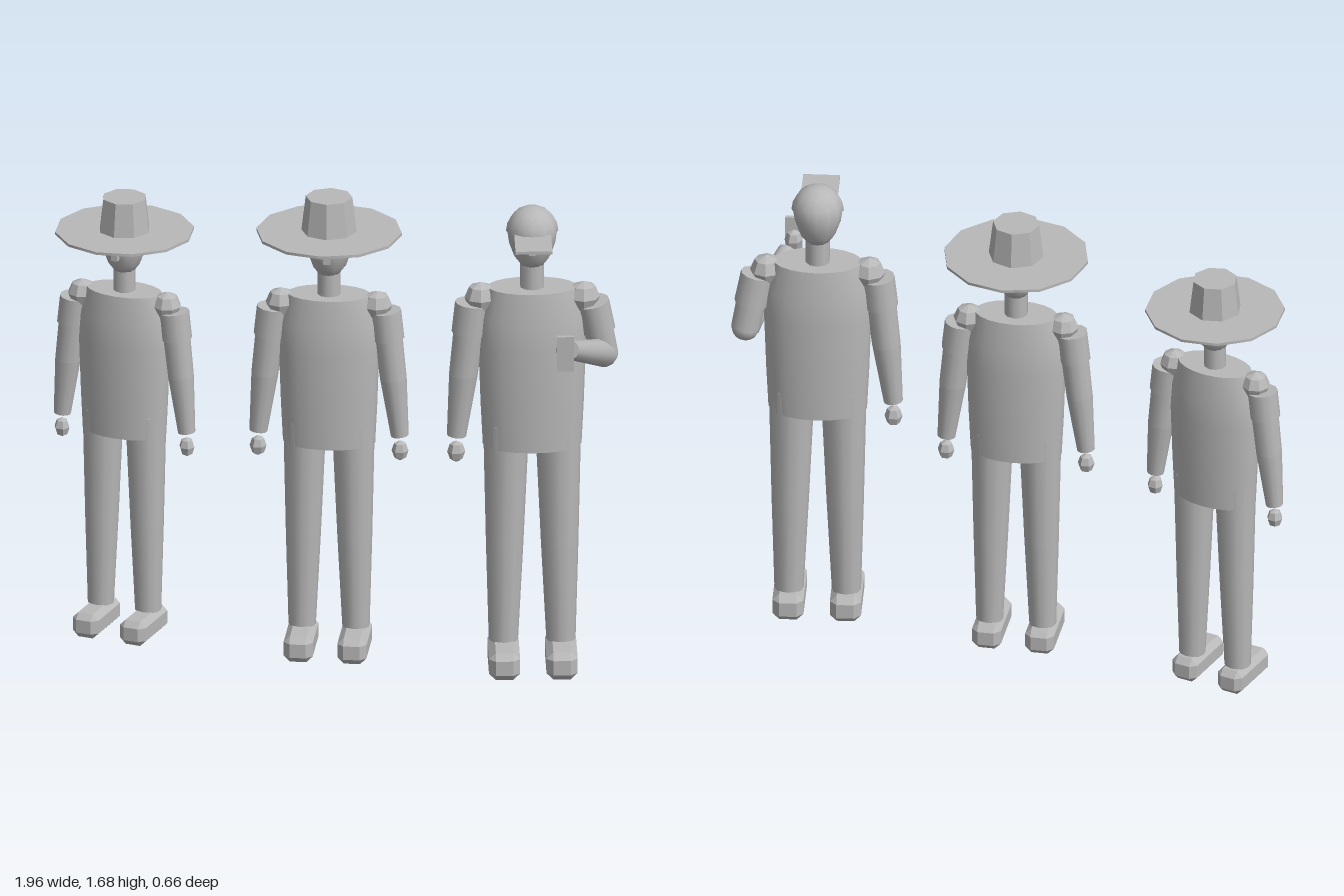
import * as THREE from 'three';
import { ConvexGeometry } from 'three/addons/geometries/ConvexGeometry.js';

const grey = new THREE.MeshStandardMaterial({ color: 0xb8b8b8 });
grey.name = 'plain grey';
const facetGrey = grey;

const V = (x, y, z) => new THREE.Vector3(x, y, z);

function add(parent, name, geometry, x = 0, y = 0, z = 0) {
  const mesh = new THREE.Mesh(geometry, grey);
  mesh.name = name;
  mesh.position.set(x, y, z);
  parent.add(mesh);
  return mesh;
}

// Tapered round limb from point a (radius ra) to point b (radius rb)
function limb(parent, name, a, b, ra, rb, sides = 12) {
  const dir = b.clone().sub(a);
  const mid = a.clone().add(b).multiplyScalar(0.5);
  const mesh = add(parent, name, new THREE.CylinderGeometry(rb, ra, dir.length(), sides), mid.x, mid.y, mid.z);
  mesh.quaternion.setFromUnitVectors(V(0, 1, 0), dir.normalize());
  return mesh;
}

// Sphere with visible facets
const facetBall = (r, sides, rings) => new THREE.SphereGeometry(r, sides, rings).toNonIndexed();
function faceted(geometry) {
  geometry.computeVertexNormals();
  return geometry;
}

// Box with all its edges and corners cut off
function chamferedBox(w, h, d, c) {
  const points = [];
  for (const sx of [-1, 1]) for (const sy of [-1, 1]) for (const sz of [-1, 1]) {
    const [x, y, z] = [sx * w / 2, sy * h / 2, sz * d / 2];
    points.push(V(x, y - sy * c, z - sz * c), V(x - sx * c, y, z - sz * c), V(x - sx * c, y - sy * c, z));
  }
  return new ConvexGeometry(points);
}

// Rounded profile, turned around y
function turned(profile, sides, depth) {
  const g = new THREE.LatheGeometry(profile.map(p => new THREE.Vector2(p[0], p[1])), sides);
  return g.scale(1, 1, depth);
}

function addBody(p) {
  // Shirt with separate flat ends, so that the rims stay sharp
  const side = [[0.158, 0.76], [0.165, 0.9], [0.172, 1.1], [0.166, 1.2], [0.142, 1.3]];
  const depth = 0.58;
  add(p, 'shirt', turned(side, 20, depth));
  const top = new THREE.CircleGeometry(0.142, 20).rotateX(-Math.PI / 2).scale(1, 1, depth);
  add(p, 'shirtTop', top, 0, 1.3, 0);
  const hem = new THREE.CircleGeometry(0.158, 20).rotateX(Math.PI / 2).scale(1, 1, depth);
  add(p, 'shirtHem', hem, 0, 0.76, 0);

  // Legs and shoes
  for (const s of [-1, 1]) {
    limb(p, 'thigh', V(s * 0.083, 0.84, 0), V(s * 0.088, 0.42, 0), 0.074, 0.06);
    limb(p, 'shin', V(s * 0.088, 0.42, 0), V(s * 0.092, 0.09, 0), 0.06, 0.047);
    add(p, 'shoe', chamferedBox(0.1, 0.093, 0.235, 0.022), s * 0.092, 0.0465, 0.04);
  }
}

function addHead(p) {
  limb(p, 'neck', V(0, 1.28, 0), V(0, 1.4, 0), 0.04, 0.04, 10);
  add(p, 'head', turned([[0, 1.37], [0.036, 1.376], [0.058, 1.405], [0.074, 1.45], [0.079, 1.485],
    [0.075, 1.52], [0.052, 1.552], [0, 1.565]], 12, 1.05));
  add(p, 'nose', new THREE.BoxGeometry(0.024, 0.036, 0.03), 0, 1.458, 0.079);
  for (const s of [-1, 1]) {
    add(p, 'eye', new THREE.BoxGeometry(0.02, 0.01, 0.009), s * 0.028, 1.484, 0.077);
  }
}

function addArm(p, s, raised) {
  const shoulder = V(s * 0.193, 1.245, 0);
  const elbow = raised ? V(s * 0.23, 1.06, -0.02) : V(s * 0.22, 1.0, 0);
  const wrist = raised ? V(s * 0.113, 1.18, 0.26) : V(s * 0.242, 0.79, 0);
  const hand = raised ? V(s * 0.096, 1.197, 0.304) : V(s * 0.243, 0.735, 0);
  const cuff = shoulder.clone().lerp(elbow, raised ? 0.55 : 0.42);

  add(p, 'shoulder', faceted(facetBall(0.052, 8, 4)), s * 0.165, 1.263, 0);
  limb(p, 'sleeve', shoulder, cuff, 0.054, 0.054);
  limb(p, 'upperArm', shoulder, elbow, 0.05, 0.046);
  add(p, 'elbow', new THREE.SphereGeometry(0.046, 12, 8), elbow.x, elbow.y, elbow.z);
  limb(p, 'forearm', elbow, wrist, 0.046, 0.031);
  const palm = add(p, 'hand', faceted(facetBall(0.029, 6, 4)), hand.x, hand.y, hand.z);
  palm.scale.y = 1.25;
  if (raised) add(p, 'phone', new THREE.BoxGeometry(0.055, 0.118, 0.014), 0.097, 1.2, 0.342);
}

function addHat(p) {
  add(p, 'hatBrim', new THREE.CylinderGeometry(0.249, 0.249, 0.01, 12), 0, 1.525, 0);
  add(p, 'hatCrown', faceted(new THREE.CylinderGeometry(0.08, 0.095, 0.125, 8).toNonIndexed()), 0, 1.591, 0);
}

function addCap(p) {
  add(p, 'capDome', new THREE.SphereGeometry(0.084, 10, 5, 0, Math.PI * 2, 0, Math.PI / 2), 0, 1.49, 0);
  add(p, 'capPeak', new THREE.BoxGeometry(0.118, 0.01, 0.15), 0, 1.493, 0.131);
}

export function createModel() {
  const group = new THREE.Group();
  group.name = 'threeStandingPeople';
  const people = [
    { name: 'personRight', x: -0.713, z: -0.093, turn: -0.23, size: 0.955, cap: false },
    { name: 'personMiddle', x: 0.006, z: -0.035, turn: 0.08, size: 1, cap: false },
    { name: 'personLeft', x: 0.713, z: -0.015, turn: 0.21, size: 1.065, cap: true },
  ];
  for (const o of people) {
    const p = new THREE.Group();
    p.name = o.name;
    addBody(p);
    addHead(p);
    addArm(p, -1, false);
    addArm(p, 1, o.cap);
    if (o.cap) addCap(p);
    else addHat(p);
    p.position.set(o.x, 0, o.z);
    p.rotation.y = o.turn;
    p.scale.setScalar(o.size);
    group.add(p);
  }
  return group;
}
